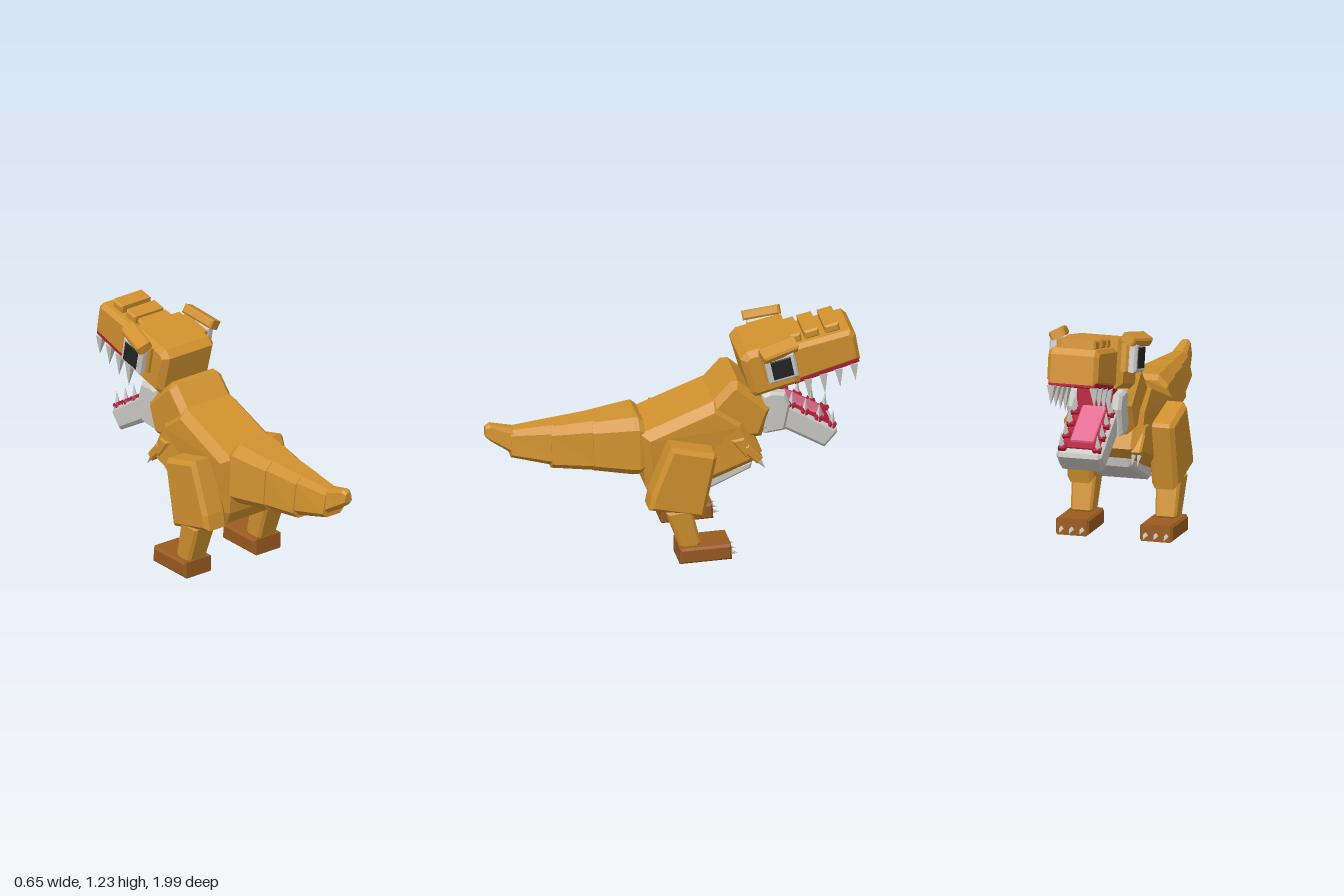
import * as THREE from 'three';

const paint = (name, color) => {
  const m = new THREE.MeshStandardMaterial({ color, flatShading: true });
  m.name = name;
  return m;
};

export function createModel() {
  const model = new THREE.Group();
  model.name = 'dinosaur';
  const hide = paint('ochre hide', 0xd0912f);
  const brown = paint('brown foot', 0x9a5a20);
  const bone = paint('pale bone', 0xcbcac5);
  const black = paint('black eye', 0x242424);
  const gum = paint('crimson gum', 0xb01e38);
  const pink = paint('pink tongue', 0xe26c92);

  const add = (name, geo, mat) => {
    const mesh = new THREE.Mesh(geo, mat);
    mesh.name = name;
    model.add(mesh);
    return mesh;
  };

  // Side profile of [z, y] points, spanning x0..x1, with chamfered edges.
  // widen(y, z) optionally scales the width.
  function prism(name, mat, pts, x0, x1, bevel = 0.012, widen = null) {
    const shape = new THREE.Shape(pts.map(p => new THREE.Vector2(p[0], p[1])));
    const geo = new THREE.ExtrudeGeometry(shape, {
      depth: x1 - x0 - 2 * bevel, bevelEnabled: true, bevelSegments: 1,
      bevelSize: bevel, bevelThickness: bevel, bevelOffset: -bevel,
    });
    geo.translate(0, 0, -(x1 - x0) / 2 + bevel);
    geo.rotateY(-Math.PI / 2);
    const p = geo.attributes.position, mid = (x0 + x1) / 2;
    for (let i = 0; i < p.count; i++) {
      const k = widen ? widen(p.getY(i), p.getZ(i)) : 1;
      p.setX(i, p.getX(i) * k + mid);
    }
    geo.computeVertexNormals();
    return add(name, geo, mat);
  }
  const block = (name, mat, w, h, d, bevel) => prism(name, mat,
    [[-d / 2, -h / 2], [d / 2, -h / 2], [d / 2, h / 2], [-d / 2, h / 2]], -w / 2, w / 2, bevel);
  const side = (name, mat, pts, s, x0, x1, bevel, widen) =>
    prism(name, mat, pts, s > 0 ? x0 : -x1, s > 0 ? x1 : -x0, bevel, widen);

  // Four-sided spike from base to tip
  function spike(name, base, tip, r) {
    const a = new THREE.Vector3(...base), b = new THREE.Vector3(...tip);
    const dir = b.clone().sub(a);
    const m = add(name, new THREE.ConeGeometry(r, dir.length(), 4), bone);
    m.position.copy(a).add(b).multiplyScalar(0.5);
    m.quaternion.setFromUnitVectors(new THREE.Vector3(0, 1, 0), dir.normalize());
  }

  // Octagonal loft through [z, bottom, top, topHalfWidth, bottomHalfWidth] sections
  function loft(name, mat, sections) {
    const pos = [], idx = [], n = 8;
    for (const [z, b, t, wt, wb] of sections) {
      const c = (t - b) * 0.16;
      pos.push(wt - c, t, z, -wt + c, t, z, -wt, t - c, z, -wb, b + c, z,
        -wb + c, b, z, wb - c, b, z, wb, b + c, z, wt, t - c, z);
    }
    for (let r = 0; r < sections.length - 1; r++) for (let i = 0; i < n; i++) {
      const a = r * n + i, b = r * n + (i + 1) % n;
      idx.push(a, b, b + n, a, b + n, a + n);
    }
    const e = (sections.length - 1) * n;
    for (let i = 1; i < n - 1; i++) idx.push(0, i + 1, i, e, e + i, e + i + 1);
    const geo = new THREE.BufferGeometry();
    geo.setAttribute('position', new THREE.Float32BufferAttribute(pos, 3));
    geo.setIndex(idx);
    const flat = geo.toNonIndexed();
    flat.computeVertexNormals();
    add(name, flat, mat);
  }

  // Torso, belly and neck
  prism('body', hide, [[0.2, 0.71], [-0.2, 0.86], [-0.36, 0.74], [-0.455, 0.54], [-0.4, 0.48],
    [0.06, 0.29], [0.13, 0.31], [0.165, 0.38]], -0.2, 0.2, 0.045,
  y => y < 0.5 ? 1 - (0.5 - y) * 0.9 : 1 - (y - 0.5) * 0.2);
  prism('belly', bone, [[-0.03, 0.29], [-0.07, 0.285], [-0.4, 0.43], [-0.41, 0.48], [-0.05, 0.37]],
    -0.14, 0.14, 0.015);
  prism('neck', hide, [[-0.17, 0.83], [-0.29, 0.96], [-0.33, 0.96], [-0.515, 0.79], [-0.455, 0.62],
    [-0.38, 0.62], [-0.22, 0.7]], -0.17, 0.17, 0.035);

  // Tail segments, each a little smaller than the end it grows from
  loft('tailBase', hide, [[0.17, 0.47, 0.76, 0.15, 0.16], [0.2, 0.455, 0.785, 0.155, 0.17],
    [0.23, 0.455, 0.785, 0.15, 0.165], [0.44, 0.49, 0.765, 0.115, 0.13]]);
  loft('tailMiddle', hide, [[0.42, 0.485, 0.77, 0.11, 0.125], [0.66, 0.52, 0.755, 0.085, 0.105]]);
  loft('tailRear', hide, [[0.64, 0.53, 0.76, 0.08, 0.1], [0.87, 0.595, 0.745, 0.05, 0.07]]);
  loft('tailTip', hide, [[0.85, 0.605, 0.75, 0.045, 0.062], [0.975, 0.69, 0.785, 0.028, 0.036],
    [1.0, 0.715, 0.77, 0.018, 0.024]]);

  // Head and snout
  prism('head', hide, [[-0.34, 1.09], [-0.375, 1.13], [-0.62, 1.18], [-0.665, 0.92], [-0.42, 0.86],
    [-0.395, 0.885]], -0.17, 0.17, 0.03);
  prism('snout', hide, [[-0.6, 1.125], [-0.935, 1.19], [-0.965, 1.16], [-0.99, 1.01], [-0.66, 0.92],
    [-0.6, 0.94]], -0.14, 0.14, 0.022);
  for (const [y, z] of [[1.155, -0.64], [1.175, -0.735], [1.195, -0.845]]) {
    const ridge = block('snoutRidge', hide, 0.2, 0.05, 0.08, 0.01);
    ridge.position.set(0, y, z);
    ridge.rotation.x = 0.2;
  }
  prism('upperGum', gum, [[-0.62, 0.94], [-0.98, 1.03], [-0.985, 0.995], [-0.64, 0.9]], -0.13, 0.13, 0.006);

  // Lower jaw, mouth and tongue
  prism('throat', gum, [[-0.5, 0.885], [-0.58, 0.885], [-0.6, 0.75], [-0.5, 0.72]], -0.1, 0.1, 0.005);
  prism('jawBase', bone, [[-0.46, 0.77], [-0.6, 0.775], [-0.585, 0.64], [-0.47, 0.63]], -0.15, 0.15, 0.018);
  prism('lowerJaw', bone, [[-0.58, 0.79], [-0.865, 0.605], [-0.87, 0.58], [-0.8, 0.5], [-0.575, 0.64]],
    -0.125, 0.125, 0.018);
  prism('lowerGum', gum, [[-0.57, 0.8], [-0.84, 0.63], [-0.83, 0.6], [-0.57, 0.76]], -0.105, 0.105, 0.005);
  prism('tongue', pink, [[-0.56, 0.82], [-0.81, 0.662], [-0.8, 0.63], [-0.56, 0.78]], -0.065, 0.065, 0.006);

  for (const s of [1, -1]) {
    side('jawHinge', bone, [[-0.46, 0.86], [-0.5, 0.875], [-0.585, 0.865], [-0.61, 0.79], [-0.585, 0.66],
      [-0.46, 0.66]], s, 0.09, 0.15, 0.015);

    // Teeth with gum bumps on the lower row
    for (let i = 0; i < 4; i++) {
      const z = -0.71 - i * 0.082, y = 0.925 + i * 0.021, len = 0.135 - i * 0.01;
      spike('upperTooth', [s * 0.115, y, z], [s * 0.12, y - len, z - 0.01], 0.03);
      const lz = -0.62 - i * 0.073, ly = 0.755 - i * 0.047;
      spike('lowerTooth', [s * 0.1, ly, lz], [s * 0.1, ly + 0.095, lz - 0.01], 0.022);
      const bump = block('gumBump', gum, 0.045, 0.035, 0.045, 0.008);
      bump.position.set(s * 0.095, ly + 0.01, lz);
      bump.rotation.x = -0.55;
    }

    // Eye and brow
    const eye = [['eyeSocket', hide, 0.05, 0.15, 0.18, 0.012, 0.175], ['eyeFrame', bone, 0.05, 0.155, 0.165, 0.012, 0.217],
      ['eyePupil', black, 0.009, 0.11, 0.11, 0.003, 0.243]];
    for (const [name, mat, w, h, d, bevel, x] of eye) {
      const part = block(name, mat, w, h, d, bevel);
      part.position.set(s * x, 1.065, -0.545);
      part.rotation.x = 0.2;
    }
    const brow = block('brow', hide, 0.085, 0.05, 0.2, 0.01);
    brow.position.set(s * 0.215, 1.162, -0.53);
    brow.rotation.set(0.2, s * 0.2, -s * 0.5);

    // Small arm with two claws
    side('upperArm', hide, [[-0.28, 0.64], [-0.35, 0.65], [-0.4, 0.57], [-0.36, 0.53]], s, 0.15, 0.205, 0.01);
    side('forearm', hide, [[-0.35, 0.6], [-0.375, 0.61], [-0.45, 0.525], [-0.42, 0.49], [-0.36, 0.55]],
      s, 0.15, 0.21, 0.01);
    for (const x of [0.165, 0.195])
      spike('handClaw', [s * x, 0.505, -0.43], [s * x, 0.455, -0.465], 0.013);

    // Leg and foot
    side('thigh', hide, [[0.06, 0.685], [-0.175, 0.62], [-0.185, 0.6], [-0.115, 0.25], [0.18, 0.325],
      [0.165, 0.41]], s, 0.16, 0.305, 0.022);
    side('shin', hide, [[0.09, 0.3], [-0.05, 0.31], [-0.1, 0.1], [-0.08, 0.075], [0.0, 0.075], [0.015, 0.09]],
      s, 0.165, 0.3, 0.014, y => 0.86 + Math.min(0.14, (y - 0.07) * 0.65));
    side('foot', brown, [[0.02, 0], [0.02, 0.09], [-0.255, 0.09], [-0.26, 0]], s, 0.14, 0.323, 0.012);
    for (const x of [0.175, 0.232, 0.289])
      spike('toeClaw', [s * x, 0.035, -0.25], [s * x, 0.018, -0.3], 0.016);
  }
  return model;
}
